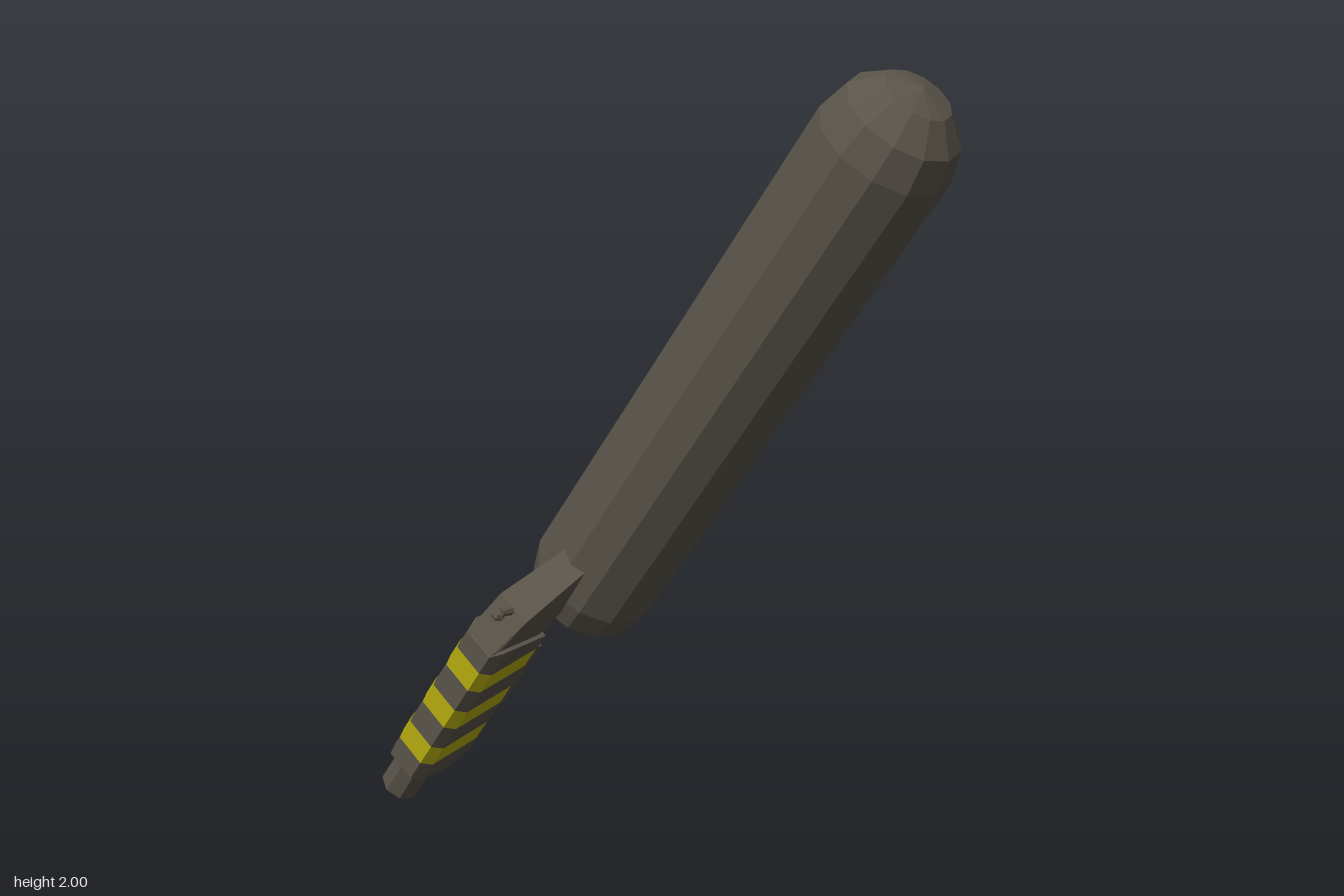
import * as THREE from 'three';
import { ConvexGeometry } from 'three/addons/geometries/ConvexGeometry.js';

export function createModel() {
  const mat = (name, color, side = THREE.FrontSide) => {
    const m = new THREE.MeshStandardMaterial({ color, flatShading: true, side });
    m.name = name;
    return m;
  };
  const grey = mat('warm grey', 0x5a544a);
  const yellow = mat('hazard yellow', 0xb5ac0e, THREE.DoubleSide);
  const orange = mat('orange', 0xc8801c);

  // Local frame: y runs along the tilted axis, x across it, z to the front
  const tool = new THREE.Group();
  tool.name = 'tiltedAssembly';
  const add = (name, geo, material, x = 0, y = 0, z = 0) => {
    const mesh = new THREE.Mesh(geo, material);
    mesh.name = name;
    mesh.position.set(x, y, z);
    tool.add(mesh);
    return mesh;
  };
  // Convex solid from [y, z, half width] points mirrored across x
  const solid = (pts) => new ConvexGeometry(pts.flatMap(([y, z, w]) =>
    [new THREE.Vector3(-w, y, z), new THREE.Vector3(w, y, z)]));

  // Long rounded body
  add('body', new THREE.CapsuleGeometry(0.165, 1.462, 3, 12), grey, 0, 1.104, -0.105);

  // Grip with chamfered front edges
  add('grip', solid([
    [-0.26, 0.14, 0.06], [-0.26, 0.226, 0.06], [-0.26, 0.254, 0.043], [-0.21, 0.08, 0.06],
    [0.25, 0.254, 0.043], [0.275, 0.226, 0.06], [0.275, 0.08, 0.06],
  ]), grey);

  // Bent arm joining grip and body
  add('arm', solid([
    [0.25, 0.252, 0.043], [0.26, 0.1, 0.05], [0.275, 0.235, 0.05],
    [0.37, 0.2, 0.05], [0.485, 0.05, 0.04], [0.34, 0.03, 0.04], [0.47, 0.03, 0.04],
  ]), grey);

  // Stub at the lower end
  add('endStub', new THREE.CylinderGeometry(0.053, 0.053, 0.13, 8), grey, 0, -0.307, 0.193);

  // Small lever with a knob
  const stem = add('leverStem', new THREE.CylinderGeometry(0.007, 0.011, 0.07, 6), grey, 0, 0.365, 0.225);
  stem.rotation.x = Math.PI / 2 - 0.2;
  const knob = add('leverKnob', new THREE.SphereGeometry(0.019, 6, 4), grey, 0, 0.372, 0.255);
  knob.scale.y = 0.75;

  // Box behind the grip with light strips
  add('backBox', new THREE.BoxGeometry(0.08, 0.243, 0.066), grey, 0, 0.06, 0.052);
  for (const s of [-1, 1]) {
    add('lightStrip', new THREE.BoxGeometry(0.024, 0.1, 0.004), orange, s * 0.006, 0.06 + s * 0.05, 0.018);
  }

  // Slanted stripes wrapped around sides, chamfers and front: [x, z, y shift]
  const wrap = [
    [-0.062, 0.09, 0.04], [-0.062, 0.227, 0], [-0.044, 0.256, 0],
    [0.044, 0.256, 0], [0.062, 0.227, 0], [0.062, 0.09, 0.04],
  ];
  for (let k = 0; k < 3; k++) {
    const y0 = -0.19 + k * 0.154, h = 0.071, pos = [];
    for (let i = 0; i < wrap.length - 1; i++) {
      const [xa, za, da] = wrap[i], [xb, zb, db] = wrap[i + 1];
      const a = [xa, y0 + da, za], b = [xb, y0 + db, zb];
      const c = [xb, y0 + db + h, zb], d = [xa, y0 + da + h, za];
      pos.push(...a, ...b, ...c, ...a, ...c, ...d);
    }
    const geo = new THREE.BufferGeometry();
    geo.setAttribute('position', new THREE.Float32BufferAttribute(pos, 3));
    geo.computeVertexNormals();
    add('stripe', geo, yellow);
  }

  tool.rotation.z = -THREE.MathUtils.degToRad(35);
  tool.position.set(-0.484, 0.339, 0);
  const model = new THREE.Group();
  model.name = 'model';
  model.add(tool);
  return model;
}
